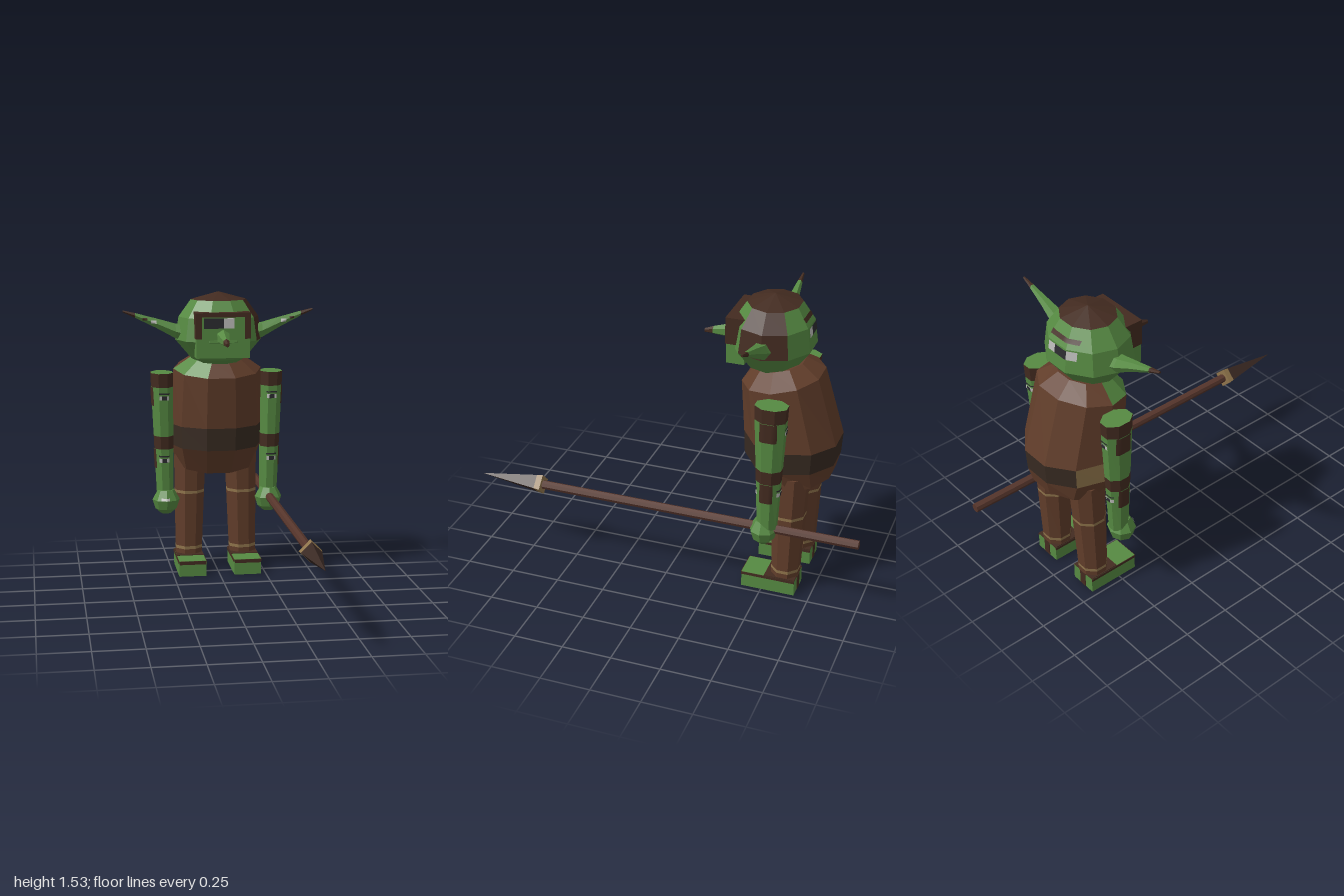
import * as THREE from 'three';

const paintOf = (name, color) => {
  const m = new THREE.MeshStandardMaterial({ color });
  m.name = name;
  return m;
};
const V = (x, y, z) => new THREE.Vector3(x, y, z);
const lerp = THREE.MathUtils.lerp;

// Ring of n points around c, spanned by u and v (u x v points against the loft direction)
function ring(c, u, v, n, phase = 0) {
  return Array.from({ length: n }, (_, j) => {
    const a = ((j + phase) / n) * Math.PI * 2;
    return c.clone().addScaledVector(u, Math.cos(a)).addScaledVector(v, Math.sin(a));
  });
}

// Faceted skin through rings, capped at both ends; pick(i, j) gives each face its material
function loft(name, rings, pick) {
  const byMat = new Map();
  const tri = (m, ...pts) => {
    if (!byMat.has(m)) byMat.set(m, []);
    pts.forEach(p => byMat.get(m).push(p.x, p.y, p.z));
  };
  const n = rings[0].length, last = rings.length - 1;
  const mid = r => r.reduce((s, p) => s.add(p), V(0, 0, 0)).divideScalar(n);
  for (let j = 0; j < n; j++) {
    const k = (j + 1) % n;
    for (let i = 0; i < last; i++) {
      const a = rings[i][j], b = rings[i][k], c = rings[i + 1][k], d = rings[i + 1][j];
      tri(pick(i, j), a, d, c);
      tri(pick(i, j), a, c, b);
    }
    tri(pick(0, -1), mid(rings[0]), rings[0][j], rings[0][k]);
    tri(pick(last - 1, -1), mid(rings[last]), rings[last][k], rings[last][j]);
  }
  const geo = new THREE.BufferGeometry(), all = [], mats = [];
  for (const [m, p] of byMat) {
    geo.addGroup(all.length / 3, p.length / 3, mats.length);
    mats.push(m);
    for (const x of p) all.push(x);
  }
  geo.setAttribute('position', new THREE.Float32BufferAttribute(all, 3));
  geo.computeVertexNormals();
  const mesh = new THREE.Mesh(geo, mats);
  mesh.name = name;
  return mesh;
}

// Thin painted patch laid onto a mesh along an axis; a runs along the other horizontal axis
function decal(name, target, axis, sign, a0, a1, y0, y1, mat, lift = 0.004) {
  const geo = new THREE.PlaneGeometry(1, 1, 6, 3), p = geo.attributes.position;
  const dir = axis === 'z' ? V(0, 0, -sign) : V(-sign, 0, 0);
  const flip = axis === 'z' ? sign : -sign;
  const caster = new THREE.Raycaster();
  for (let i = 0; i < p.count; i++) {
    const a = lerp(a0, a1, 0.5 + flip * p.getX(i)), y = lerp(y0, y1, 0.5 + p.getY(i));
    const from = axis === 'z' ? V(a, y, sign * 3) : V(sign * 3, y, a);
    caster.set(from, dir);
    const hit = caster.intersectObject(target)[0];
    const q = hit ? hit.point : target.geometry.boundingSphere.center.clone();
    q.addScaledVector(dir, -lift);
    p.setXYZ(i, q.x, q.y, q.z);
  }
  geo.computeVertexNormals();
  const mesh = new THREE.Mesh(geo, mat);
  mesh.name = name;
  return mesh;
}

function box(name, x0, x1, y0, y1, z0, z1, mat) {
  const mesh = new THREE.Mesh(new THREE.BoxGeometry(Math.abs(x1 - x0), y1 - y0, z1 - z0), mat);
  mesh.position.set((x0 + x1) / 2, (y0 + y1) / 2, (z0 + z1) / 2);
  mesh.name = name;
  return mesh;
}

// Tapered eight-sided limb; lo and hi are [x, z, halfWidth, halfDepth] at its ends
function limb(name, side, ys, lo, hi, pick) {
  const rings = ys.map(y => {
    const t = (y - ys[0]) / (ys[ys.length - 1] - ys[0]);
    const [x, z, rx, rz] = lo.map((v, i) => lerp(v, hi[i], t));
    return ring(V(side * x, y, z), V(rx / 0.924, 0, 0), V(0, 0, rz / 0.924), 8, 0.5);
  });
  return loft(name, rings, pick);
}

export function createModel() {
  const skin = paintOf('green skin', 0x568a42);
  const hair = paintOf('dark brown', 0x432b20);
  const cloth = paintOf('brown cloth', 0x613d2a);
  const belt = paintOf('belt', 0x382b22);
  const tan = paintOf('tan', 0x8f744b);
  const wood = paintOf('shaft wood', 0x56352b);
  const iron = paintOf('spear point', 0x3a2923);
  const light = paintOf('eye light', 0xbdbdba);
  const dark = paintOf('eye dark', 0x2c2c30);

  const model = new THREE.Group();
  model.name = 'spearCarrier';
  const add = (...m) => model.add(...m);

  // Hunched torso: each row is front z, front y, back z, back y, half width
  const body = [
    [-0.45, 0.555, -0.785, 0.62, 0.21],
    [-0.355, 0.695, -0.805, 0.70, 0.245],
    [-0.35, 0.815, -0.812, 0.81, 0.25],
    [-0.33, 1.085, -0.71, 1.15, 0.236],
    [-0.39, 1.165, -0.62, 1.205, 0.14],
  ].map(([fz, fy, bz, by, w]) => ring(
    V(0, (fy + by) / 2, (fz + bz) / 2), V(w, 0, 0),
    V(0, (fy - by) / 1.9, (fz - bz) / 1.9), 10));
  add(loft('torso', body, (i, j) => {
    if (i === 1) return j === 5 ? tan : belt;
    return i === 3 && (j === 3 || j === 4) ? skin : cloth;
  }));

  // Head with hair cap and one dark temple
  const headRings = [[0.1, 1.155], [0.145, 1.18], [0.23, 1.28], [0.212, 1.4], [0.147, 1.49], [0.001, 1.53]]
    .map(([r, y]) => ring(V(0, y, -0.465), V(r, 0, 0), V(0, 0, r * 0.9), 10));
  const head = loft('head', headRings, (i, j) =>
    i === 4 || (i > 1 && (j === 0 || j === 9)) ? hair : skin);
  add(head);

  // Face block, hair frame and front eyes
  add(box('face', -0.14, 0.14, 1.2, 1.43, -0.36, -0.27, skin));
  add(box('browFrame', -0.144, 0.144, 1.412, 1.435, -0.36, -0.265, hair));
  for (const s of [-1, 1]) add(box('sideFrame', s * 0.112, s * 0.144, 1.3, 1.412, -0.36, -0.265, hair));
  add(box('eyeDark', -0.1, 0.003, 1.354, 1.407, -0.275, -0.266, dark));
  add(box('eyeLight', 0.003, 0.056, 1.354, 1.407, -0.275, -0.266, light));

  // Painted markings at the back of the head
  add(decal('backBrow', head, 'z', -1, -0.11, 0.06, 1.425, 1.445, hair));
  add(decal('backEyeDark', head, 'z', -1, -0.07, 0.01, 1.35, 1.395, dark));
  add(decal('backEyeLight', head, 'z', -1, -0.115, -0.07, 1.35, 1.395, light));
  add(decal('backEyeLight', head, 'z', -1, 0.01, 0.055, 1.35, 1.395, light));

  // Pointed nose
  const noseRings = [[-0.29, 1.31, 0.045], [-0.16, 1.293, 0.02], [-0.115, 1.285, 0.01]]
    .map(([z, y, r]) => ring(V(0, y, z), V(0, r, 0), V(r * 0.9, 0, 0), 6));
  add(loft('nose', noseRings, i => (i === 1 ? hair : skin)));

  for (const s of [-1, 1]) {
    // Long ear: x, y, half height, half depth
    const earRings = [[0.17, 1.31, 0.05, 0.055], [0.23, 1.325, 0.043, 0.045], [0.33, 1.367, 0.028, 0.028],
      [0.375, 1.384, 0.022, 0.022], [0.44, 1.409, 0.014, 0.014], [0.505, 1.431, 0.006, 0.006]]
      .map(([x, y, h, d]) => ring(V(s * x, y, -0.462), V(0, 0, s * d), V(0, h, 0), 6));
    const ear = loft('ear', earRings, i => (i === 4 ? hair : skin));
    add(ear);
    add(decal('earMark', ear, 'z', 1, s * 0.345 - 0.014, s * 0.345 + 0.014, 1.367, 1.383, light));
    add(decal('earSpot', ear, 'z', 1, s * 0.39 - 0.012, s * 0.39 + 0.012, 1.384, 1.396, hair));

    // Arm with shoulder and elbow bands
    const arm = limb('arm', s, [0.42, 0.685, 0.755, 1.02, 1.095],
      [0.282, -0.54, 0.044, 0.047], [0.296, -0.548, 0.058, 0.078],
      (i, j) => (j >= 0 && i % 2 ? hair : skin));
    add(arm);
    add(decal('upperArmPatch', arm, 'x', s, -0.59, -0.505, 0.92, 1.02, hair));
    add(decal('forearmPatch', arm, 'x', s, -0.575, -0.51, 0.58, 0.685, hair));
    for (const y of [0.965, 0.625]) for (const f of [1, -1]) {
      const x = s * 0.29;
      add(decal('armMarkLine', arm, 'z', f, x - 0.028, x + 0.028, y + 0.018, y + 0.026, dark));
      add(decal('armMark', arm, 'z', f, x - 0.026, x + 0.026, y - 0.012, y + 0.01, light));
      add(decal('armMarkCentre', arm, 'z', f, x - 0.012, x + 0.014, y - 0.012, y + 0.01, dark, 0.006));
    }

    // Faceted fist
    const fist = loft('hand', [[0.33, 0.03], [0.355, 0.058], [0.405, 0.074], [0.458, 0.045]]
      .map(([y, r]) => ring(V(s * 0.28, y, -0.522), V(r, 0, 0), V(0, 0, r * 0.95), 8)), () => skin);
    add(fist);
    if (s < 0) add(decal('handMark', fist, 'z', 1, -0.31, -0.265, 0.407, 0.42, light));

    // Trouser leg with two tan cords
    add(limb('leg', s, [0.08, 0.113, 0.13, 0.426, 0.442, 0.66],
      [0.149, -0.607, 0.069, 0.067], [0.139, -0.617, 0.083, 0.086],
      i => (i === 1 || i === 3 ? tan : cloth)));

    // Foot with dark upper trim, heel stripe and sole patch
    add(box('foot', s * 0.077, s * 0.223, 0, 0.085, -0.673, -0.397, skin));
    add(box('toeTrim', s * 0.079, s * 0.221, 0.065, 0.084, -0.4, -0.394, hair));
    add(box('outerTrim', s * 0.22, s * 0.226, 0.07, 0.084, -0.673, -0.397, hair));
    add(box('innerTrim', s * 0.074, s * 0.08, 0.07, 0.084, -0.673, -0.397, hair));
    add(box('heelStripe', s * 0.13, s * 0.17, 0.002, 0.085, -0.676, -0.67, hair));
    add(box('ankleTrim', s * 0.077, s * 0.223, 0.083, 0.088, -0.673, -0.515, hair));
    const sole = new THREE.Mesh(new THREE.CylinderGeometry(0.045, 0.045, 0.004, 10), hair);
    sole.position.set(s * 0.15, 0.001, -0.59);
    sole.name = 'solePatch';
    add(sole);
  }

  // Spear lying level in the left hand
  const rod = (z, r, n) => ring(V(0.28, 0.411, z), V(0, r, 0), V(r, 0, 0), n);
  add(loft('spearShaft', [rod(-1, 0.023, 8), rod(0.67, 0.023, 8)], () => wood));
  add(loft('spearPoint', [rod(0.66, 0.056, 4), rod(0.693, 0.0505, 4), rod(1, 0.001, 4)],
    i => (i === 0 ? tan : iron)));
  return model;
}
